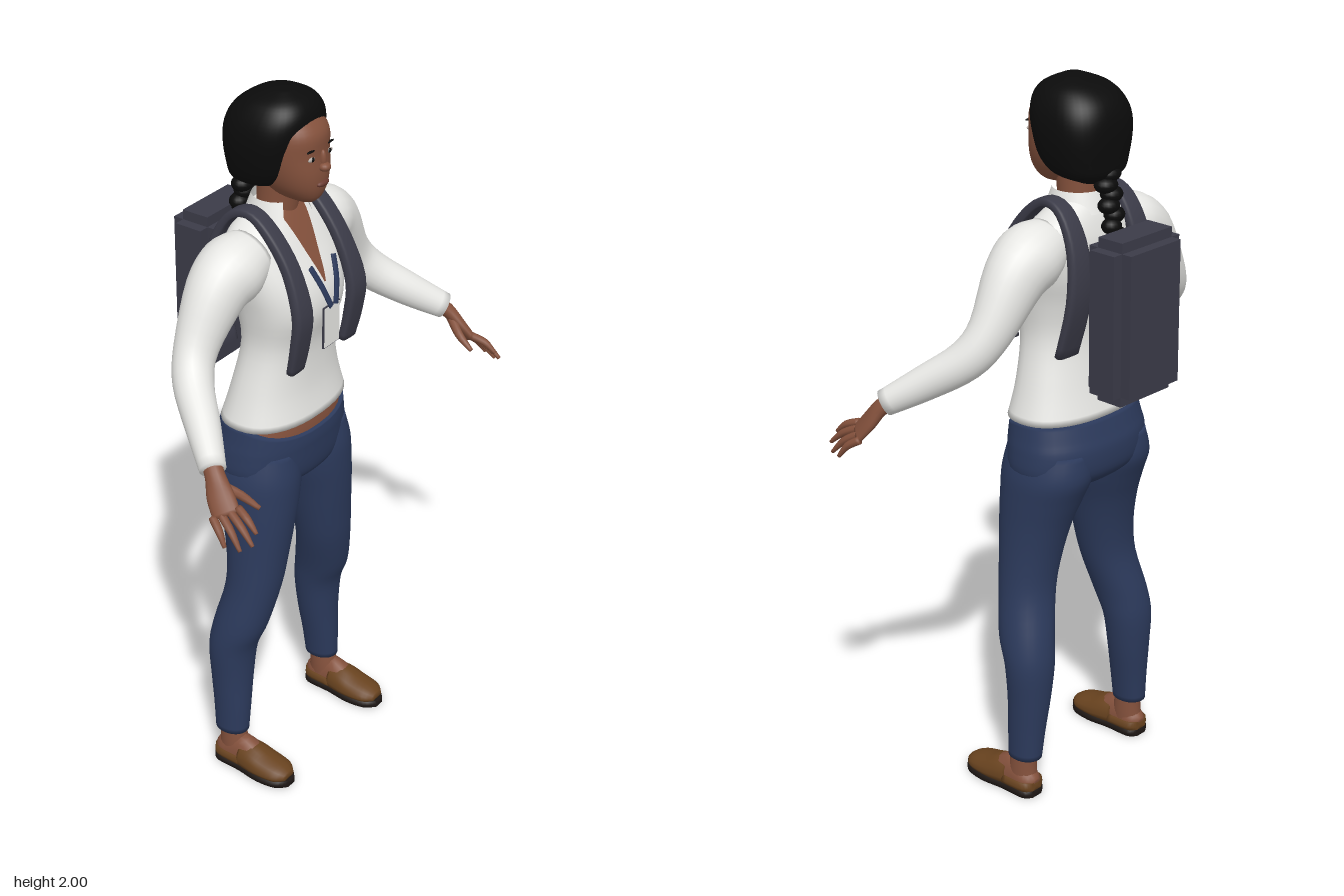
import * as THREE from 'three';

const paint = (name, color, side = THREE.FrontSide) => {
  const m = new THREE.MeshStandardMaterial({ color, side });
  m.name = name;
  return m;
};

// Catmull-Rom smoothing of rows of numbers
function smooth(rows, steps = 4) {
  const out = [], at = i => rows[Math.min(Math.max(i, 0), rows.length - 1)];
  for (let i = 0; i < rows.length - 1; i++) for (let s = 0; s < steps; s++) {
    const t = s / steps, [a, b, c, d] = [at(i - 1), at(i), at(i + 1), at(i + 2)];
    out.push(b.map((_, k) => 0.5 * (2 * b[k] + (c[k] - a[k]) * t
      + (2 * a[k] - 5 * b[k] + 4 * c[k] - d[k]) * t * t + (3 * b[k] - a[k] - 3 * c[k] + d[k]) * t * t * t)));
  }
  out.push(rows[rows.length - 1]);
  return out;
}

// Skin a list of rings and close both ends
function skinRings(rings) {
  const n = rings[0].length, pos = rings.flat().flatMap(p => p.toArray()), idx = [];
  for (let r = 0; r < rings.length - 1; r++) for (let i = 0; i < n; i++) {
    const a = r * n + i, b = r * n + (i + 1) % n;
    idx.push(a, a + n, b, b, a + n, b + n);
  }
  [0, rings.length - 1].forEach((r, end) => {
    const c = rings[r].reduce((s, p) => s.add(p), new THREE.Vector3()).divideScalar(n);
    const ci = pos.length / 3;
    pos.push(c.x, c.y, c.z);
    for (let i = 0; i < n; i++) {
      const a = r * n + i, b = r * n + (i + 1) % n;
      if (end) idx.push(ci, b, a); else idx.push(ci, a, b);
    }
  });
  const g = new THREE.BufferGeometry();
  g.setAttribute('position', new THREE.Float32BufferAttribute(pos, 3));
  g.setIndex(idx);
  g.computeVertexNormals();
  return g;
}

function ring(c, u, v, ru, rv, e, n) {
  return Array.from({ length: n }, (_, i) => {
    const a = i / n * Math.PI * 2, f = w => Math.sign(w) * Math.abs(w) ** (2 / e);
    return c.clone().addScaledVector(u, ru * f(Math.cos(a))).addScaledVector(v, rv * f(Math.sin(a)));
  });
}

const X = new THREE.Vector3(1, 0, 0), Z = new THREE.Vector3(0, 0, 1);

// Level sections, bottom to top: [y, front z, back z, left x, right x]
const stack = (rows, e = 2, n = 32) => skinRings(smooth(rows).map(([y, f, b, l, r]) =>
  ring(new THREE.Vector3((l + r) / 2, y, (f + b) / 2), X, Z, (l - r) / 2, (f - b) / 2, e, n)));
const even = rows => rows.map(([y, f, b, w]) => [y, f, b, w, -w]);

// Sections along a path: [x, y, z, half width, half thickness]
function sweep(rows, across = X, e = 2, n = 16) {
  const s = smooth(rows), p = s.map(r => new THREE.Vector3(r[0], r[1], r[2]));
  return skinRings(s.map((r, i) => {
    const t = p[Math.min(i + 1, p.length - 1)].clone().sub(p[Math.max(i - 1, 0)]).normalize();
    const v = across.clone().cross(t).normalize(), u = t.clone().cross(v);
    return ring(p[i], u, v, r[3], r[4], e, n);
  }));
}

// Move every vertex by a rule
function bend(g, rule) {
  const a = g.attributes.position, v = new THREE.Vector3();
  for (let i = 0; i < a.count; i++) { rule(v.fromBufferAttribute(a, i)); a.setXYZ(i, v.x, v.y, v.z); }
  g.computeVertexNormals();
  return g;
}
const flatten = (g, lo, hi) => bend(g, v => { v.y = THREE.MathUtils.clamp(v.y, lo, hi); });

// Front depth of a stack at x, y
function frontOf(rows, e) {
  const s = smooth(rows);
  return (x, y) => {
    let i = 0;
    while (i < s.length - 2 && s[i + 1][0] < y) i++;
    const t = THREE.MathUtils.clamp((y - s[i][0]) / (s[i + 1][0] - s[i][0]), 0, 1);
    const [, f, b, w] = s[i].map((q, k) => q + (s[i + 1][k] - q) * t);
    return (f + b) / 2 + (f - b) / 2 * Math.max(0, 1 - Math.abs(x / w) ** e) ** (1 / e);
  };
}

const ball = (x, y, z, a, b, c) => new THREE.SphereGeometry(1, 16, 12).scale(a, b, c).translate(x, y, z);

export function createModel() {
  const model = new THREE.Group();
  const skin = paint('skin', 0x84513c), shirt = paint('shirt white', 0xe8e8e5, THREE.DoubleSide);
  const denim = paint('denim', 0x2c3a5c), pack = paint('pack grey', 0x3b3b48);
  const black = paint('hair black', 0x0b0b0b), leather = paint('sandal brown', 0x69431f);
  const soleDark = paint('sole dark', 0x1f1815), lipRed = paint('lip brown', 0x6a3a30);
  const skinPatch = paint('neckline skin', 0x84513c, THREE.DoubleSide), eyeWhite = paint('eye white', 0xb8b0aa);

  const add = (name, g, m) => {
    const mesh = new THREE.Mesh(g, m);
    mesh.name = name;
    model.add(mesh);
  };
  const both = (name, g, m) => {
    const r = g.clone().scale(-1, 1, 1), ix = r.index.array;
    for (let i = 0; i < ix.length; i += 3) [ix[i], ix[i + 1]] = [ix[i + 1], ix[i]];
    add(name + 'Left', g, m);
    add(name + 'Right', r, m);
  };

  // Shirt body, belly, neckline and collar
  const torso = [[1.105, 0.097, -0.155, 0.205], [1.2, 0.082, -0.13, 0.175], [1.32, 0.085, -0.11, 0.147],
    [1.42, 0.112, -0.125, 0.158], [1.5, 0.1, -0.145, 0.175], [1.58, 0.058, -0.145, 0.188],
    [1.63, 0.03, -0.135, 0.165], [1.67, 0.005, -0.12, 0.105], [1.69, -0.01, -0.105, 0.07]];
  const chest = frontOf(torso, 2.3);
  add('shirtBody', stack(even(torso), 2.3, 40), shirt);
  add('belly', stack(even([[1.02, 0.085, -0.14, 0.19], [1.07, 0.088, -0.145, 0.19], [1.13, 0.08, -0.12, 0.175]]), 2.3), skin);
  const neckline = new THREE.PlaneGeometry(2, 1, 8, 16);
  add('neckline', bend(neckline, v => {
    const t = v.y + 0.5;
    v.y = 1.5 + 0.188 * t;
    v.x *= 0.003 + 0.05 * t;
    v.z = chest(v.x, v.y) + 0.005;
  }), skinPatch);
  add('collar', new THREE.CylinderGeometry(0.068, 0.088, 0.055, 28, 1, true, 0.75, Math.PI * 2 - 1.5)
    .translate(0, 1.683, -0.045), shirt);
  add('neck', stack(even([[1.6, 0.0, -0.1, 0.06], [1.68, 0.008, -0.1, 0.054], [1.78, 0.02, -0.1, 0.055]])), skin);

  // Sleeves
  both('sleeve', sweep([[0.12, 1.585, -0.045, 0.075, 0.07], [0.185, 1.565, -0.05, 0.09, 0.09], [0.25, 1.523, -0.055, 0.078, 0.085],
    [0.335, 1.405, -0.053, 0.056, 0.062], [0.39, 1.335, -0.02, 0.052, 0.054], [0.455, 1.272, 0.06, 0.045, 0.047],
    [0.523, 1.214, 0.142, 0.034, 0.036]], Z, 2, 24), shirt);

  // Hands
  const span = new THREE.Vector3(0.04, -0.02, -0.05).normalize();
  both('palm', sweep([[0.505, 1.228, 0.12, 0.026, 0.024], [0.527, 1.2, 0.152, 0.026, 0.02], [0.543, 1.16, 0.18, 0.035, 0.017],
    [0.557, 1.122, 0.21, 0.036, 0.013]], span), skin);
  const tips = [[0.552, 1.1, 0.297], [0.572, 1.075, 0.3], [0.59, 1.06, 0.275], [0.602, 1.063, 0.237]];
  tips.forEach(([x, y, z], i) => {
    const t = i / 3, b = [0.535 + 0.042 * t, 1.14 - 0.024 * t, 0.228 - 0.046 * t];
    both('finger' + (i + 1), sweep([[...b, 0.011, 0.011],
      [(b[0] + x) / 2 + 0.003, (b[1] + y) / 2 + 0.006, (b[2] + z) / 2 + 0.004, 0.01, 0.01],
      [x, y, z, 0.005, 0.005]], span, 2, 8), skin);
  });
  both('thumb', sweep([[0.527, 1.18, 0.165, 0.014, 0.014], [0.5, 1.152, 0.21, 0.012, 0.012],
    [0.487, 1.125, 0.258, 0.006, 0.006]], span, 2, 8), skin);

  // Trousers: hips with a dipped front waist, then legs
  add('hips', bend(stack(even([[0.9, 0.05, -0.11, 0.06], [0.925, 0.08, -0.15, 0.17], [0.96, 0.092, -0.175, 0.214],
    [1.02, 0.097, -0.18, 0.214], [1.06, 0.098, -0.17, 0.207], [1.1, 0.096, -0.158, 0.2]]), 2.3, 40),
  v => { v.y -= 0.36 * Math.max(0, v.z) * Math.max(0, (v.y - 1.02) / 0.08); }), denim);
  both('leg', stack([[0.115, 0, -0.1, 0.26, 0.178], [0.2, 0.002, -0.106, 0.262, 0.165], [0.3, 0.003, -0.115, 0.266, 0.147],
    [0.4, 0.012, -0.12, 0.272, 0.132], [0.48, 0.042, -0.11, 0.266, 0.118], [0.6, 0.066, -0.086, 0.243, 0.085],
    [0.7, 0.077, -0.092, 0.232, 0.062], [0.8, 0.087, -0.115, 0.226, 0.04], [0.88, 0.092, -0.145, 0.224, 0.018],
    [0.95, 0.092, -0.172, 0.22, 0.008], [1.02, 0.08, -0.165, 0.2, 0.02]], 2.1), denim);

  // Feet and sandals
  const cx = 0.222;
  both('ankle', stack([[0.03, 0.01, -0.09, 0.256, 0.186], [0.08, 0.0, -0.085, 0.254, 0.186], [0.14, -0.01, -0.085, 0.25, 0.19]]), skin);
  both('foot', flatten(sweep([[cx, 0.03, -0.092, 0.015, 0.02], [cx, 0.035, -0.07, 0.035, 0.04], [cx, 0.035, -0.01, 0.038, 0.068],
    [cx, 0.03, 0.06, 0.044, 0.038], [cx, 0.028, 0.12, 0.042, 0.022], [cx, 0.026, 0.148, 0.02, 0.012]]), 0.018, 1), skin);
  both('sandalUpper', flatten(sweep([[cx, 0.035, -0.005, 0.043, 0.052], [cx, 0.034, 0.03, 0.049, 0.05], [cx, 0.03, 0.07, 0.052, 0.04],
    [cx, 0.028, 0.125, 0.045, 0.026], [cx, 0.026, 0.152, 0.022, 0.012]]), 0.02, 1), leather);
  both('sandalHeel', flatten(sweep([[cx, 0.03, -0.096, 0.018, 0.04], [cx, 0.03, -0.075, 0.04, 0.05],
    [cx, 0.03, 0.0, 0.045, 0.05]]), 0.02, 0.045), leather);
  both('sole', flatten(sweep([[cx, 0.01, -0.097, 0.018, 0.06], [cx, 0.01, -0.075, 0.041, 0.06], [cx, 0.01, 0.0, 0.044, 0.06],
    [cx, 0.01, 0.07, 0.053, 0.06], [cx, 0.01, 0.13, 0.044, 0.06], [cx, 0.01, 0.16, 0.016, 0.06]]), 0, 0.02), soleDark);

  // Head and face
  const head = [[1.715, 0.068, 0.0, 0.022], [1.73, 0.084, -0.05, 0.045], [1.76, 0.095, -0.08, 0.068], [1.8, 0.098, -0.1, 0.083],
    [1.85, 0.093, -0.1, 0.09], [1.9, 0.092, -0.1, 0.088], [1.935, 0.066, -0.09, 0.075], [1.96, 0.03, -0.06, 0.04]];
  const face = frontOf(head, 2.2);
  add('head', stack(even(head), 2.2), skin);
  add('nose', ball(0, 1.818, 0.1, 0.017, 0.012, 0.016), skin);
  add('noseBridge', ball(0, 1.836, 0.094, 0.009, 0.026, 0.01), skin);
  add('lips', ball(0, 1.773, 0.094, 0.024, 0.009, 0.011), lipRed);
  both('eye', ball(0.037, 1.846, face(0.037, 1.846), 0.014, 0.006, 0.004), eyeWhite);
  both('iris', ball(0.036, 1.846, face(0.036, 1.846) + 0.002, 0.006, 0.006, 0.004), black);
  both('brow', ball(0.038, 1.868, face(0.038, 1.868), 0.019, 0.003, 0.004), black);

  // Hair and braid
  add('hair', stack(even([[1.735, -0.05, -0.13, 0.04], [1.76, 0.0, -0.16, 0.092], [1.8, 0.038, -0.168, 0.113],
    [1.86, 0.056, -0.174, 0.124], [1.91, 0.066, -0.17, 0.121], [1.95, 0.064, -0.15, 0.105], [1.98, 0.042, -0.11, 0.078],
    [2.0, 0.0, -0.05, 0.03]]), 2.5, 40), black);
  for (let i = 0; i < 8; i++)
    add('braidKnot' + (i + 1), ball(i % 2 ? 0.008 : -0.008, 1.76 - 0.026 * i, -0.142 - 0.005 * i, 0.035 - 0.0012 * i, 0.022, 0.03 - 0.001 * i), black);

  // Backpack with stepped edges, and shoulder straps
  [[0.25, 0.385, 0.08], [0.19, 0.385, 0.14], [0.19, 0.44, 0.08]].forEach(([w, h, d], i) =>
    add('packBlock' + (i + 1), new THREE.BoxGeometry(w, h, d).translate(0, 1.409, -0.24), pack));
  both('strap', sweep([[0.115, 1.287, 0.095, 0.031, 0.012], [0.118, 1.37, 0.112, 0.034, 0.014], [0.118, 1.46, 0.118, 0.034, 0.015],
    [0.113, 1.57, 0.078, 0.028, 0.015], [0.112, 1.655, 0.015, 0.026, 0.014], [0.112, 1.695, -0.045, 0.025, 0.012],
    [0.113, 1.672, -0.105, 0.028, 0.012], [0.116, 1.58, -0.15, 0.034, 0.014], [0.122, 1.45, -0.158, 0.04, 0.014],
    [0.125, 1.3, -0.12, 0.04, 0.012]], X, 4), pack);

  // Lanyard and badge
  both('lanyard', sweep([[0.05, 1.555, 0.094, 0.009, 0.003], [0.032, 1.5, 0.118, 0.009, 0.003],
    [0.01, 1.44, 0.132, 0.009, 0.003]], X, 4, 8), denim);
  add('badgeEdge', new THREE.BoxGeometry(0.07, 0.118, 0.005).translate(0, 1.382, 0.124), pack);
  add('badge', new THREE.BoxGeometry(0.065, 0.113, 0.006).translate(0, 1.382, 0.125), shirt);
  return model;
}
